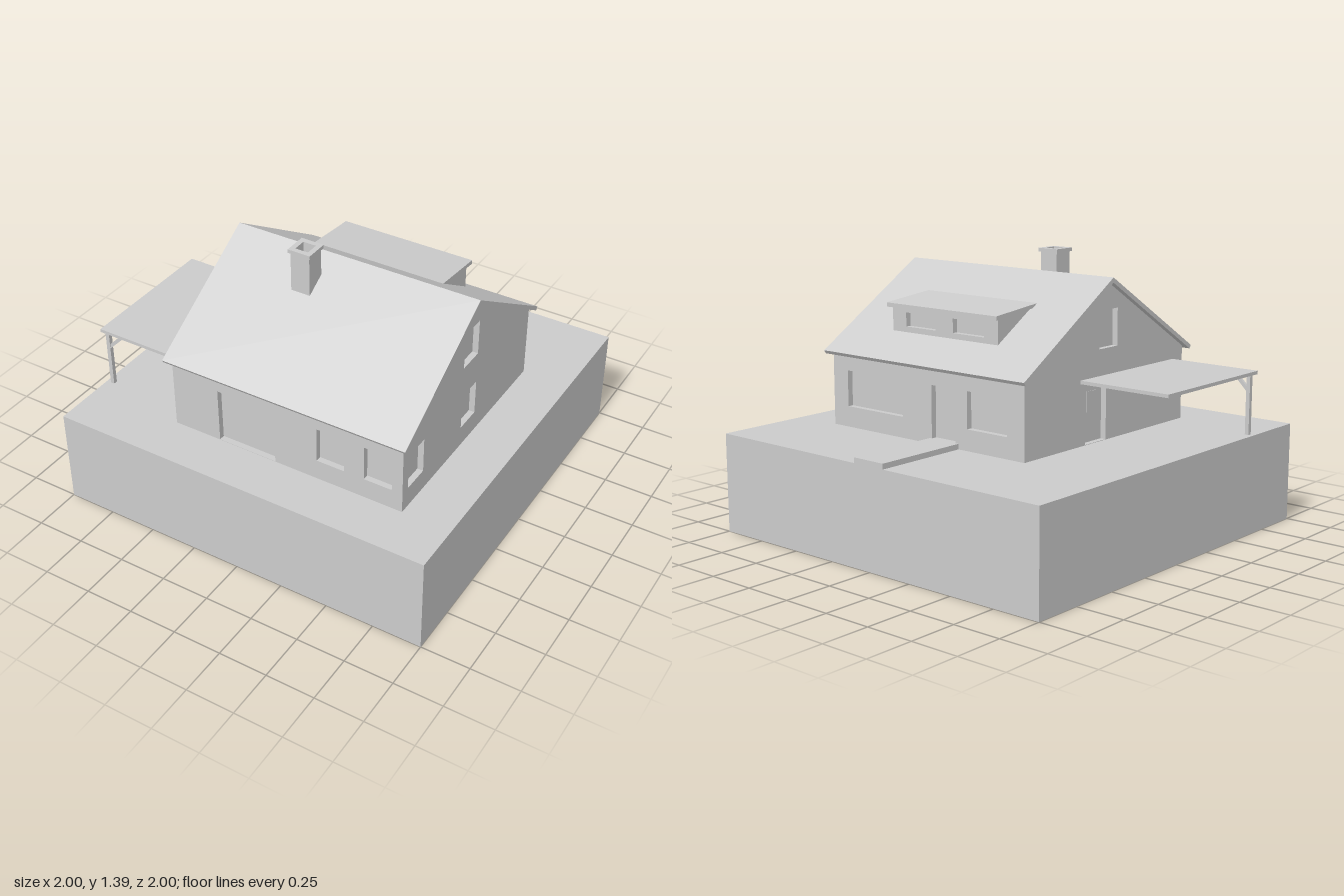
import * as THREE from 'three';

const mat = new THREE.MeshStandardMaterial({ color: 0xcccccc, flatShading: true, side: THREE.DoubleSide });

function add(parent, name, geometry, x = 0, y = 0, z = 0, rotY = 0) {
  const mesh = new THREE.Mesh(geometry, mat);
  mesh.name = name;
  mesh.position.set(x, y, z);
  mesh.rotation.y = rotY;
  parent.add(mesh);
  return mesh;
}

const polygon = (pts) => new THREE.Shape(pts.map(([x, y]) => new THREE.Vector2(x, y)));
const rect = (x0, x1, y0, y1) => [[x0, y0], [x1, y0], [x1, y1], [x0, y1]];

// Box given by its limits
function block(parent, name, x0, x1, y0, y1, z0, z1) {
  return add(parent, name, new THREE.BoxGeometry(x1 - x0, y1 - y0, z1 - z0),
    (x0 + x1) / 2, (y0 + y1) / 2, (z0 + z1) / 2);
}

// Box with some sides left out (0 +x, 1 -x, 2 +y, 3 -y, 4 +z, 5 -z)
function openBox(w, h, d, missing) {
  const g = new THREE.BoxGeometry(w, h, d);
  const index = Array.from(g.index.array).filter((_, i) => !missing.includes(Math.floor(i / 6)));
  g.setIndex(index);
  g.clearGroups();
  return g;
}

// Flat wall with recessed openings [name, x0, x1, y0, y1] in its own plane
function wall(parent, name, pts, openings, x, z, rotY) {
  const group = new THREE.Group();
  group.name = name;
  group.position.set(x, 0, z);
  group.rotation.y = rotY;
  const shape = polygon(pts);
  const depth = 0.03;
  for (const [label, x0, x1, y0, y1] of openings) {
    shape.holes.push(polygon(rect(x0, x1, y0, y1)));
    add(group, label, openBox(x1 - x0, y1 - y0, depth, [4]), (x0 + x1) / 2, (y0 + y1) / 2, -depth / 2);
  }
  add(group, name + 'Surface', new THREE.ShapeGeometry(shape));
  parent.add(group);
  return group;
}

// Profile of [z, y] points drawn out from x0 to x1
function alongX(parent, name, pts, x0, x1) {
  const g = new THREE.ExtrudeGeometry(polygon(pts), { depth: x1 - x0, bevelEnabled: false });
  return add(parent, name, g, x1, 0, 0, -Math.PI / 2);
}

export function createModel() {
  const model = new THREE.Group();
  model.name = 'houseOnPlot';

  // Plot: open-bottomed skirt, and ground cut out under the house
  add(model, 'plotSides', openBox(2, 0.5, 2, [2, 3]), 0, 0.25, 0);
  const ground = polygon(rect(-1, 1, -1, 1));
  ground.holes.push(polygon(rect(-0.5, 0.75, -0.75, 0.5)));
  add(model, 'ground', new THREE.ShapeGeometry(ground).rotateX(-Math.PI / 2), 0, 0.5, 0);
  block(model, 'path', -0.095, 0.09, 0.5, 0.527, -1, -0.5);

  // House walls
  const eave = 0.88, ridgeZ = 0.118, apex = 1.265;
  wall(model, 'frontWall', rect(-0.5, 0.75, 0.5, eave), [
    ['garageDoor', -0.245, 0.07, 0.502, 0.787],
    ['frontWindow', 0.3, 0.445, 0.605, 0.787],
    ['frontWindow', 0.55, 0.695, 0.605, 0.787],
  ], 0, 0.75, 0);
  wall(model, 'backWall', rect(-0.75, 0.5, 0.5, eave), [
    ['wideWindow', -0.65, -0.27, 0.605, 0.787],
    ['backDoor', -0.077, 0.077, 0.527, 0.787],
    ['backWindow', 0.15, 0.395, 0.605, 0.787],
  ], 0, -0.5, Math.PI);
  wall(model, 'gableWallPlusX', [[-0.75, 0.5], [0.5, 0.5], [0.5, eave], [-ridgeZ, apex], [-0.75, eave]], [
    ['gableWindow', -0.7, -0.56, 0.605, 0.787],
    ['gableWindow', -0.195, -0.055, 0.605, 0.787],
    ['atticWindow', -0.195, -0.055, 0.95, 1.135],
  ], 0.75, 0, Math.PI / 2);
  const sideWall = wall(model, 'gableWallMinusX',
    [[-0.5, 0.5], [0.75, 0.5], [0.75, eave], [ridgeZ, apex], [-0.5, eave]], [
      ['sideDoor', -0.05, 0.11, 0.502, 0.787],
      ['atticWindow', 0.055, 0.195, 0.95, 1.135],
    ], -0.5, 0, -Math.PI / 2);
  add(sideWall, 'sideDoorPane', new THREE.BoxGeometry(0.07, 0.1, 0.006), 0.03, 0.7, -0.03);

  // Main roof
  alongX(model, 'roof', [
    [0.786, 0.88], [ridgeZ, 1.29], [-0.54, 0.88], [-0.528, 0.863], [ridgeZ, apex], [0.775, 0.863],
  ], -0.53, 0.777);

  // Dormer on the back slope
  const dormer = new THREE.Group();
  dormer.name = 'dormer';
  model.add(dormer);
  wall(dormer, 'dormerFace', rect(-0.465, 0.22, 0.98, 1.115), [
    ['dormerWindow', -0.375, -0.18, 1.02, 1.09],
    ['dormerWindow', -0.065, 0.135, 1.02, 1.09],
  ], 0, -0.36, Math.PI);
  for (const x of [-0.22, 0.465]) {
    wall(dormer, 'dormerCheek', [[-0.36, 0.98], [-0.12, 1.13], [-0.13, 1.142], [-0.36, 1.115]], [], x, 0, -Math.PI / 2);
  }
  alongX(dormer, 'dormerRoof', [[-0.388, 1.133], [-0.388, 1.112], [-0.13, 1.141], [-0.09, 1.163]], -0.235, 0.48);

  // Chimney with a hollow cap
  const chimney = new THREE.Group();
  chimney.name = 'chimney';
  chimney.position.set(-0.05, 0, 0.273);
  model.add(chimney);
  add(chimney, 'chimneyShaft', openBox(0.102, 0.22, 0.102, [2, 3]), 0, 1.26, 0);
  const cap = polygon(rect(-0.06, 0.06, -0.06, 0.06));
  cap.holes.push(polygon(rect(-0.034, 0.034, -0.034, 0.034)));
  const capGeometry = new THREE.ExtrudeGeometry(cap, { depth: 0.018, bevelEnabled: false }).rotateX(-Math.PI / 2);
  add(chimney, 'chimneyCap', capGeometry, 0, 1.368, 0);
  add(chimney, 'flue', openBox(0.068, 0.07, 0.068, [2]), 0, 1.335, 0);

  // Carport with a braced corner post
  const carport = new THREE.Group();
  carport.name = 'carport';
  model.add(carport);
  block(carport, 'carportRoof', -1, -0.5, 0.803, 0.82, -0.09, 0.668);
  block(carport, 'carportPost', -0.976, -0.955, 0.5, 0.803, 0.64, 0.661);
  const brace = polygon([[-0.955, 0.715], [-0.868, 0.803], [-0.893, 0.803], [-0.955, 0.74]]);
  add(carport, 'carportBrace', new THREE.ExtrudeGeometry(brace, { depth: 0.015, bevelEnabled: false }), 0, 0, 0.643);

  return model;
}
